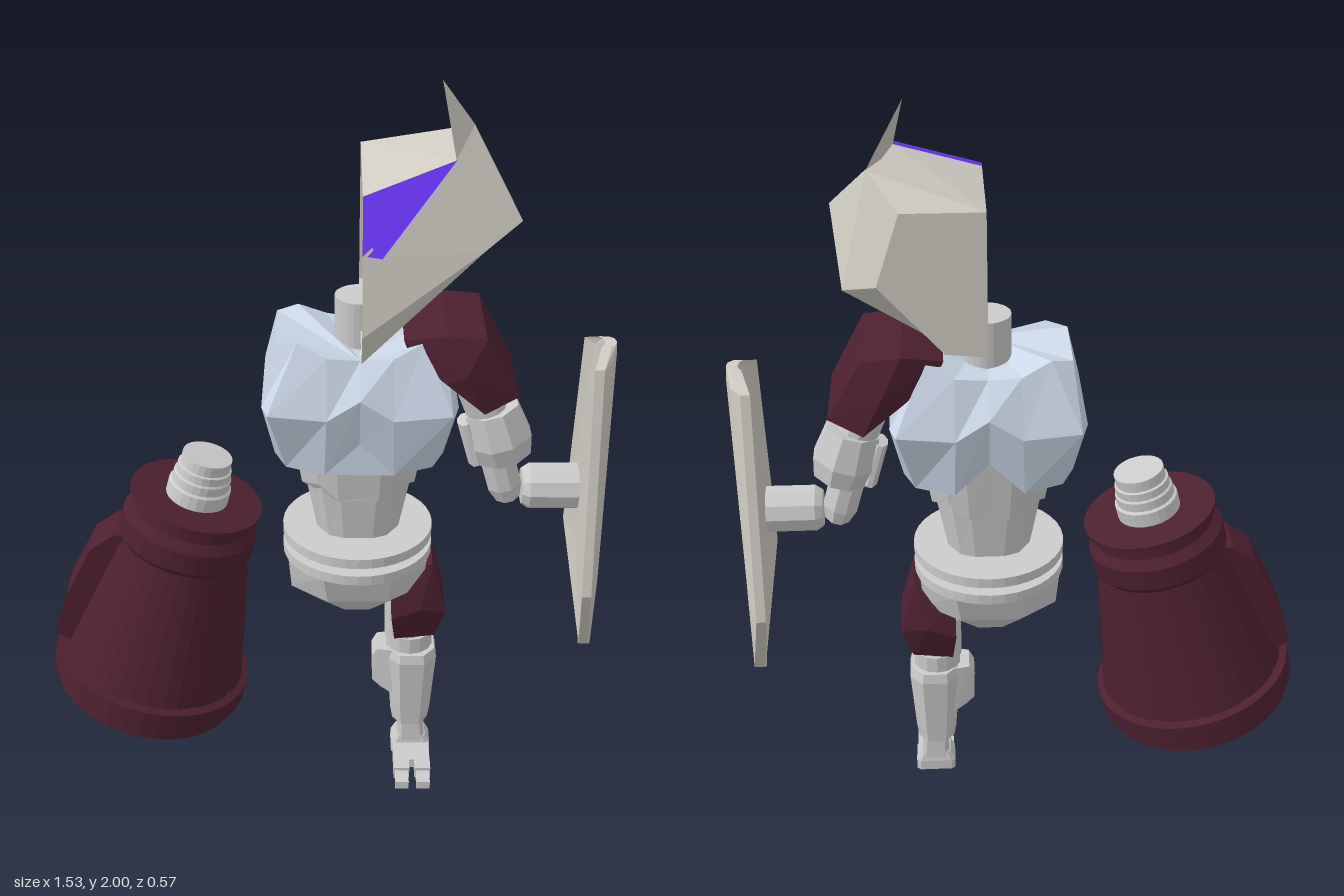
import * as THREE from 'three';
import { ConvexGeometry } from 'three/addons/geometries/ConvexGeometry.js';

const mat = (color) => new THREE.MeshStandardMaterial({ color, flatShading: true, side: THREE.DoubleSide });
const grey = mat(0xcccccc), bone = mat(0xd0ccc4), steel = mat(0xccd8e8), maroon = mat(0x4d2030), violet = mat(0x6633ee);
const CX = 0.095, CZ = -0.013; // body axis

function add(parent, name, geometry, material, x = 0, y = 0, z = 0) {
  const m = new THREE.Mesh(geometry, material);
  m.name = name;
  m.position.set(x, y, z);
  parent.add(m);
  return m;
}

// Polygons given as lists of corner points, split into fans
function polys(list) {
  const out = [];
  for (const p of list) for (let i = 1; i < p.length - 1; i++) out.push(...p[0], ...p[i], ...p[i + 1]);
  const g = new THREE.BufferGeometry();
  g.setAttribute('position', new THREE.Float32BufferAttribute(out, 3));
  g.computeVertexNormals();
  return g;
}

// Closed solid through rings of equal point count
function loft(rings) {
  const n = rings[0].length, faces = [[...rings[0]].reverse(), rings[rings.length - 1]];
  for (let r = 0; r < rings.length - 1; r++)
    for (let i = 0; i < n; i++) {
      const j = (i + 1) % n;
      faces.push([rings[r][i], rings[r][j], rings[r + 1][j], rings[r + 1][i]]);
    }
  return polys(faces);
}

// Full ring from its +x half (front centre to back centre)
const mirrorX = (half) => [...half, ...half.slice(1, -1).reverse().map(([x, y, z]) => [-x, y, z])];
// Chamfered rectangle ring
const oct = (y, w, d, c = 0.35) => [[w * c, d], [w, d * c], [w, -d * c], [w * c, -d], [-w * c, -d], [-w, -d * c], [-w, d * c], [-w * c, d]]
  .map(([x, z]) => [x, y, z]);
// Convex block mirrored in z
const hullZ = (pts) => new ConvexGeometry(pts.flatMap(([x, y, z]) => [new THREE.Vector3(x, y, z), new THREE.Vector3(x, y, -z)]));
const cyl = (r1, r2, h, n = 24) => new THREE.CylinderGeometry(r1, r2, h, n);

function buildHead(root) {
  const g = new THREE.Group();
  g.name = 'head';
  root.add(g);
  const T = [CX, 1.77, 0.16], M = [CX, 1.65, 0.235], G = [CX, 1.46, 0.285], H = [CX, 1.38, 0.257], K = [CX, 1.365, -0.1];
  const E = [0.315, 1.845, 0.12], D = [0.375, 1.86, -0.105], N = [0.34, 1.85, 0], tip = [0.285, 2, -0.01];
  const B = [0.48, 1.695, 0.12], F = [0.39, 1.635, 0.165], C = [0.445, 1.565, -0.125], J = [0.2, 1.41, -0.12];
  const Bk = [CX, 1.785, -0.195], Bo = [0.3, 1.785, -0.195], L = [0.36, 1.6, -0.195], Q = [0.2, 1.42, -0.195], R = [CX, 1.41, -0.195];
  // Half helmet, open along the centre plane
  add(g, 'helmet', polys([
    [Bk, T, E, N, D, Bo], [E, B, D], [B, C, D], [D, C, L, Bo], [Bo, L, Q, R, Bk],
    [T, M, E], [M, F, E], [M, G, F], [G, H, F], [E, F, B],
    [F, H, J], [F, J, C], [F, C, B], [H, K, J], [J, Q, L, C], [K, R, Q, J],
  ]), bone);
  add(g, 'ear', polys([[E, tip, N], [N, tip, D], [E, D, tip]]), bone);
  const visor = [[0.315, 1.845], [CX, 1.77], [CX, 1.65], [0.115, 1.67], [0.14, 1.645]];
  add(g, 'visor', loft([-0.003, 0.014].map((o) => visor.map(([x, y]) =>
    [x, y + o * 0.3, 0.16 - 0.625 * (y - 1.77) + 0.031 * (x - CX) + o]))), violet);
}

function buildTorso(root) {
  const g = new THREE.Group();
  g.name = 'torso';
  g.position.set(CX, 0, CZ);
  root.add(g);
  add(g, 'neck', cyl(0.065, 0.065, 0.13), grey, 0, 1.38, 0);
  add(g, 'chest', loft([
    [[0, 1.1, 0.165], [0.09, 1.01, 0.165], [0.19, 1.015, 0.13], [0.22, 1.03, 0.08], [0.22, 1.03, -0.08], [0.19, 1.015, -0.13], [0.09, 1.01, -0.165], [0, 1.1, -0.165]],
    [[0, 1.235, 0.19], [0.085, 1.18, 0.193], [0.235, 1.19, 0.185], [0.25, 1.2, 0.15], [0.25, 1.2, -0.15], [0.235, 1.19, -0.185], [0.085, 1.18, -0.193], [0, 1.235, -0.19]],
    [[0, 1.32, 0.13], [0.085, 1.33, 0.14], [0.16, 1.365, 0.12], [0.215, 1.355, 0.1], [0.215, 1.355, -0.1], [0.16, 1.365, -0.12], [0.085, 1.33, -0.14], [0, 1.32, -0.13]],
  ].map(mirrorX)), steel);
  // Overlapping abdomen plates with zigzag hems: hem y, hem width, top y, top width
  [[0.92, 0.15, 1.1, 0.18, 0.14], [0.78, 0.11, 0.95, 0.143, 0.12]].forEach(([y0, w0, y1, w1, d], i) => {
    const z = i ? 0 : 0.025;
    const ring = (y, w, dd, k) => mirrorX([[0, y - k * 0.3, dd], [w * 0.35, y - k * 0.6, dd], [w * 0.7, y + k, dd * 0.85], [w, y, dd * 0.35],
      [w, y, -dd * 0.35], [w * 0.7, y + k, -dd * 0.85], [w * 0.35, y - k * 0.6, -dd], [0, y - k * 0.3, -dd]]);
    add(g, 'abdomenPlate', loft([ring(y0, w0, d * 0.86, z), ring(y1, w1, d, 0)]), grey);
  });
  // Waist discs
  for (const y of [0.76, 0.708]) add(g, 'waistDisc', cyl(0.203, 0.203, 0.028, 36), grey, 0, y, 0);
  add(g, 'pelvis', loft([oct(0.525, 0.095, 0.07), oct(0.6, 0.18, 0.14, 0.45), oct(0.695, 0.187, 0.165, 0.5)]), grey);
}

function buildArm(root) {
  const g = new THREE.Group();
  g.name = 'leftArm';
  g.position.z = CZ;
  root.add(g);
  add(g, 'shoulderPad', hullZ([[0.205, 1.362, 0.1], [0.31, 1.395, 0.145], [0.41, 1.385, 0.145], [0.36, 1.3, 0.183],
    [0.41, 1.19, 0.17], [0.5, 1.22, 0.13], [0.22, 1.32, 0.1], [0.31, 1.27, 0.16]]), maroon);
  const arm = new THREE.Group();
  arm.name = 'armSegments';
  arm.position.set(0.465, 1.05, 0);
  arm.rotation.z = 0.28;
  g.add(arm);
  add(arm, 'upperArm', cyl(0.055, 0.055, 0.24, 12), grey, -0.02, 0.13, 0).rotation.z = 0.1;
  add(arm, 'forearmGuard', loft([oct(-0.075, 0.07, 0.065), oct(-0.02, 0.084, 0.078), oct(0.075, 0.07, 0.065)]), grey);
  add(arm, 'elbowPlate', loft([oct(-0.065, 0.02, 0.04), oct(0.06, 0.02, 0.035)]), grey, -0.077, 0, 0);
  add(arm, 'wrist', loft([oct(-0.2, 0.032, 0.035), oct(-0.16, 0.045, 0.045), oct(-0.06, 0.045, 0.045)]), grey, -0.02, 0, 0);
  // Shield grip
  add(g, 'grip', cyl(0.063, 0.063, 0.13, 10), grey, 0.62, 0.885, 0).rotation.z = Math.PI / 2;
  add(g, 'gripCap', cyl(0.05, 0.063, 0.02, 10), grey, 0.545, 0.885, 0).rotation.z = Math.PI / 2;
  // Ridged shield: y, half width, ridge x, edge x
  add(g, 'shield', loft([[0.365, 0.004, 0.757, 0.755], [0.66, 0.205, 0.76, 0.715], [1.28, 0.1, 0.76, 0.715], [1.315, 0.03, 0.757, 0.74]]
    .map(([y, w, r, e]) => [[r, y, 0], [(r + e) / 2 + 0.005, y, -w * 0.6], [e, y, -w], [e - 0.025, y, -w],
      [(r + e) / 2 - 0.025, y, -w * 0.6], [r - 0.03, y, 0], [(r + e) / 2 - 0.025, y, w * 0.6],
      [e - 0.025, y, w], [e, y, w], [(r + e) / 2 + 0.005, y, w * 0.6]])), bone);
}

function buildLeg(root) {
  const g = new THREE.Group();
  g.name = 'leftLeg';
  g.position.z = CZ;
  root.add(g);
  add(g, 'thighPad', hullZ([[0.19, 0.63, 0.09], [0.3, 0.68, 0.07], [0.34, 0.53, 0.085], [0.31, 0.44, 0.07],
    [0.2, 0.435, 0.08], [0.19, 0.52, 0.11], [0.27, 0.55, 0.11]]), maroon);
  add(g, 'thigh', cyl(0.062, 0.06, 0.13, 14), grey, 0.235, 0.465, 0);
  add(g, 'knee', cyl(0.066, 0.066, 0.05, 14), grey, 0.245, 0.395, 0);
  add(g, 'shin', loft([oct(0.125, 0.05, 0.068, 0.5), oct(0.16, 0.056, 0.07, 0.5), oct(0.345, 0.07, 0.082, 0.5), oct(0.372, 0.064, 0.076, 0.5)]), grey, 0.252, 0, 0);
  add(g, 'calfPlate', hullZ([[0.14, 0.345, 0.035], [0.155, 0.37, 0.04], [0.2, 0.37, 0.05], [0.2, 0.22, 0.05], [0.165, 0.235, 0.035], [0.142, 0.26, 0.035]]), grey);
  add(g, 'ankle', loft([oct(0.03, 0.04, 0.04, 0.7), oct(0.13, 0.036, 0.034, 0.7)]), grey, 0.257, 0, 0.003);
  add(g, 'heel', loft([oct(0, 0.056, 0.042, 0.8), oct(0.03, 0.056, 0.042, 0.8), oct(0.058, 0.042, 0.036, 0.8)]), grey, 0.257, 0, 0.003);
  add(g, 'sole', new THREE.BoxGeometry(0.105, 0.028, 0.09), grey, 0.257, 0.022, 0.075);
  for (const s of [-1, 1]) {
    add(g, 'toe', new THREE.BoxGeometry(0.045, 0.034, 0.05), grey, 0.257 + s * 0.03, 0.021, 0.135);
    add(g, 'toeTip', new THREE.BoxGeometry(0.038, 0.024, 0.06), grey, 0.257 + s * 0.03, 0.018, 0.18);
  }
}

function buildCannon(root) {
  const g = new THREE.Group();
  g.name = 'armCannon';
  g.position.set(-0.508, 0.228, CZ);
  g.rotation.z = -THREE.MathUtils.degToRad(15);
  root.add(g);
  const lathe = (pts, n = 36) => new THREE.LatheGeometry(pts.map(([r, y]) => new THREE.Vector2(r, y)), n);
  // Hollow bell with rim, collar and cap
  add(g, 'bell', lathe([[0, 0.4], [0.15, 0.4], [0.232, 0], [0.257, 0], [0.257, 0.035], [0.276, 0.04], [0.276, 0.1], [0.25, 0.105],
    [0.177, 0.495], [0.186, 0.51], [0.186, 0.57], [0.165, 0.595], [0.162, 0.63], [0.182, 0.632], [0.182, 0.645], [0, 0.645]]), maroon);
  // Raised panels around the bell
  for (let i = 0; i < 12; i++)
    add(g, 'bellPanel', new THREE.CylinderGeometry(0.184, 0.256, 0.375, 3, 1, true, i * Math.PI / 6 + 0.03, Math.PI / 6 - 0.06), maroon, 0, 0.295, 0);
  // Outer fin
  const fin = new THREE.Shape([[-0.16, 0.51], [-0.195, 0.5], [-0.245, 0.44], [-0.282, 0.27], [-0.284, 0.145], [-0.24, 0.13]].map(([x, y]) => new THREE.Vector2(x, y)));
  add(g, 'fin', new THREE.ExtrudeGeometry(fin, { depth: 0.13, bevelEnabled: false }), maroon, 0, 0, -0.065);
  // Stepped wrist
  add(g, 'wristSleeve', lathe([[0.086, 0.64], [0.086, 0.685], [0.079, 0.69], [0.079, 0.715], [0.074, 0.72], [0.074, 0.742],
    [0.068, 0.745], [0.068, 0.775], [0, 0.775]], 24), grey);
}

export function createModel() {
  const root = new THREE.Group();
  root.name = 'armouredFigure';
  buildHead(root);
  buildTorso(root);
  buildArm(root);
  buildLeg(root);
  buildCannon(root);
  return root;
}
